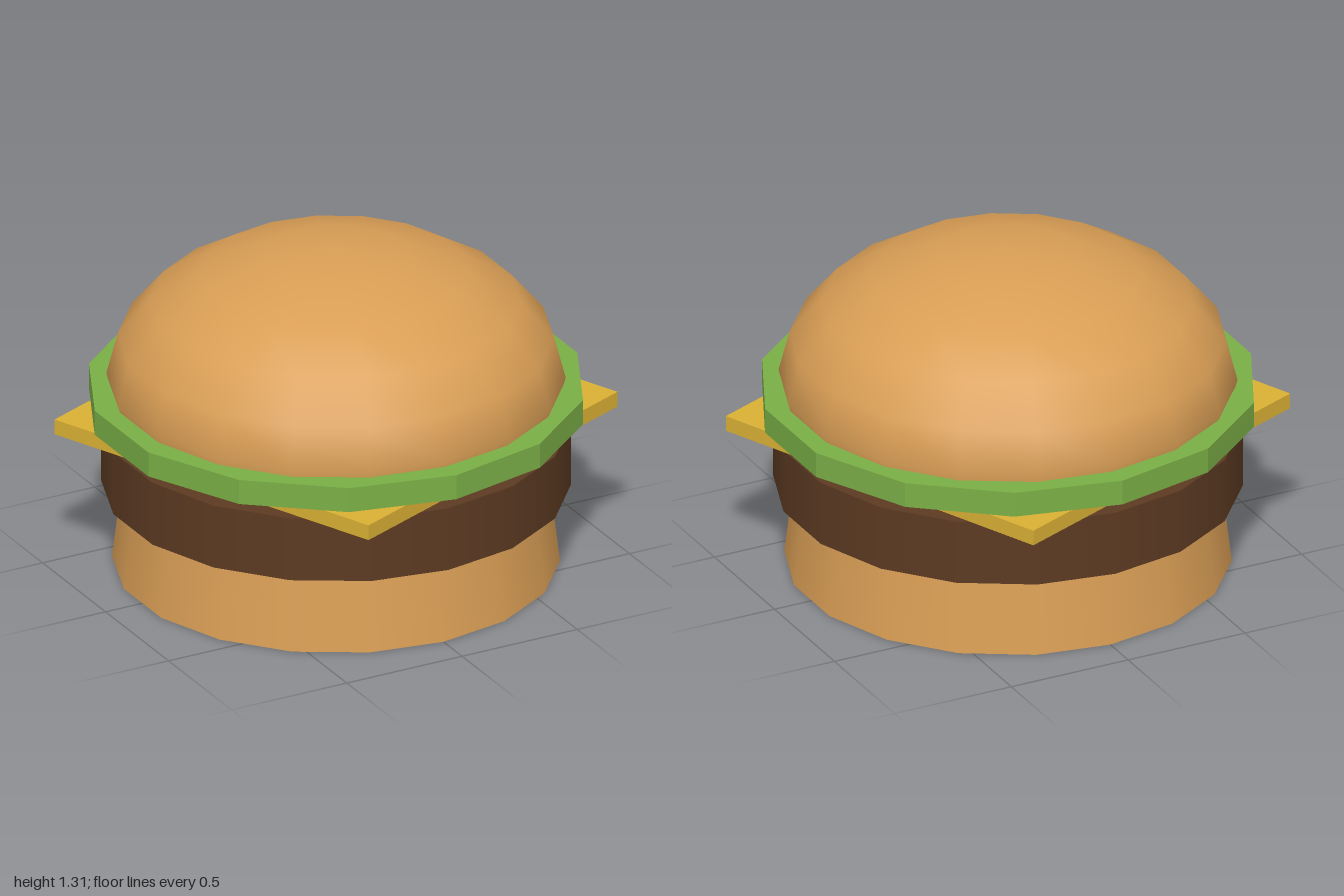
import * as THREE from 'three';

export function createModel() {
  const burger = new THREE.Group();
  burger.name = 'burger';

  const material = (name, color, flatShading = false) => {
    const m = new THREE.MeshStandardMaterial({ color, flatShading });
    m.name = name;
    return m;
  };
  const bun = material('toasted bun', 0xd99e55);
  const meat = material('grilled meat', 0x5c3a22);
  const cheese = material('cheese yellow', 0xdab034);
  const leaf = material('lettuce green', 0x7aae46, true);

  // Adds a part spanning the heights y0 to y1
  const addLayer = (name, geometry, mat, y0, y1, turn = 0) => {
    const mesh = new THREE.Mesh(geometry, mat);
    mesh.name = name;
    mesh.position.y = (y0 + y1) / 2;
    mesh.rotation.y = turn;
    burger.add(mesh);
  };
  const disc = (top, bottom, y0, y1, sides) =>
    new THREE.CylinderGeometry(top, bottom, y1 - y0, sides);

  // Stacked layers, bottom to top
  addLayer('bottomBun', disc(0.815, 0.853, 0, 0.32, 18), bun, 0, 0.32);
  addLayer('patty', disc(0.895, 0.895, 0.32, 0.58, 18), meat, 0.32, 0.58);
  addLayer('cheeseSlice', new THREE.BoxGeometry(1.526, 0.062, 1.526), cheese, 0.58, 0.642, 0.4);
  addLayer('lettuce', disc(0.955, 0.955, 0.642, 0.743, 14), leaf, 0.642, 0.743);

  // Squashed dome whose lower edge sinks into the patty
  const dome = new THREE.SphereGeometry(0.875, 18, 7, 0, Math.PI * 2, 0, Math.PI * 0.7);
  dome.rotateY(Math.PI / 2);
  dome.scale(1, 0.535 / 0.875, 1);
  addLayer('topBun', dome, bun, 0.77, 0.77);

  return burger;
}
